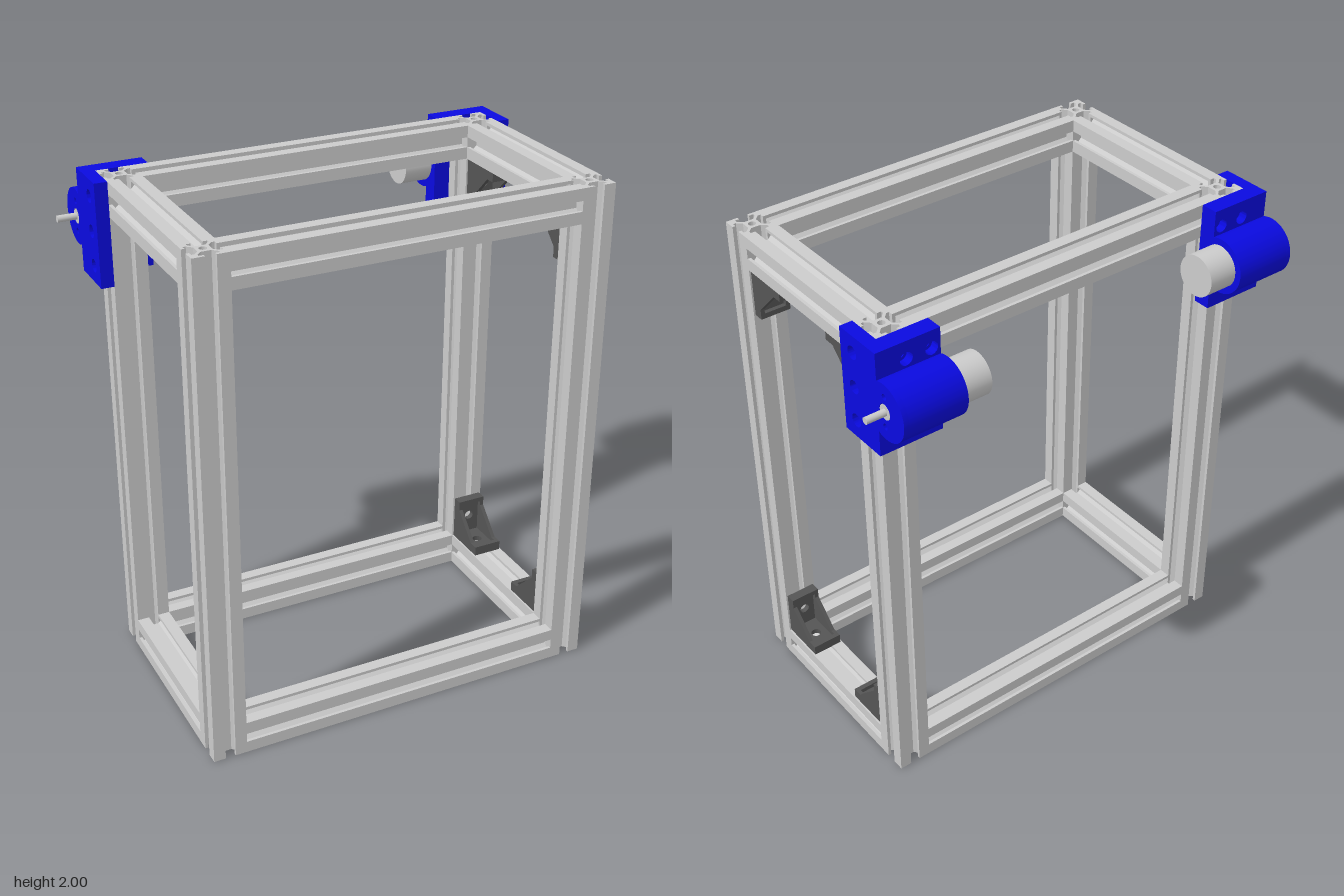
import * as THREE from 'three';
import { toCreasedNormals } from 'three/addons/utils/BufferGeometryUtils.js';

const MM = 1 / 150;          // one millimetre in model units
const S = 20 * MM;           // side of the slotted bars
const H = S / 2;
const X = 0.8 - H;           // post centres
const ZF = 0.573 - H, ZB = -0.36 + H;

const grey = new THREE.MeshStandardMaterial({ color: 0xcccccc });
const dark = new THREE.MeshStandardMaterial({ color: 0x555555 });
const blue = new THREE.MeshStandardMaterial({ color: 0x0a0ae0 });

function add(parent, name, geometry, material, x = 0, y = 0, z = 0) {
  const mesh = new THREE.Mesh(geometry, material);
  mesh.name = name;
  mesh.position.set(x, y, z);
  parent.add(mesh);
  return mesh;
}

const polygon = pts => new THREE.Shape(pts.map(p => new THREE.Vector2(p[0], p[1])));
const rect = (x0, y0, x1, y1) => polygon([[x0, y0], [x1, y0], [x1, y1], [x0, y1]]);
const disc = (x, y, r) => new THREE.Shape().absarc(x, y, r, 0, Math.PI * 2, false);

// holes are [x, y, radius]
function extrude(shape, depth, holes = []) {
  for (const [x, y, r] of holes) {
    shape.holes.push(new THREE.Path().absarc(x, y, r, 0, Math.PI * 2, true));
  }
  const g = new THREE.ExtrudeGeometry(shape, { depth, bevelEnabled: false, curveSegments: 24 });
  return toCreasedNormals(g, 0.5);
}
// extrusion towards +x; the shape's horizontal axis becomes -z
const extrudeX = (shape, depth, holes) => extrude(shape, depth, holes).rotateY(Math.PI / 2);

// T-slot bar cross-section: one quadrant repeated four times
function barGeometry(length) {
  const quadrant = [[3.9, 2.8], [6.6, 5.5], [8.2, 5.5], [8.2, 3], [10, 3], [10, 10],
    [3, 10], [3, 8.2], [5.5, 8.2], [5.5, 6.6], [2.8, 3.9]];
  const pts = [];
  for (let k = 0; k < 4; k++) {
    const c = Math.round(Math.cos(k * Math.PI / 2)), s = Math.round(Math.sin(k * Math.PI / 2));
    for (const [x, y] of quadrant) pts.push([(x * c - y * s) * MM, (x * s + y * c) * MM]);
  }
  return extrude(polygon(pts), length, [[0, 0, 2.1 * MM]]).translate(0, 0, -length / 2);
}

function buildFrame(root) {
  const frame = new THREE.Group();
  frame.name = 'frame';
  root.add(frame);
  const post = barGeometry(2).rotateX(Math.PI / 2);
  const wide = barGeometry(2 * (X - H)).rotateY(Math.PI / 2);
  const deep = barGeometry(ZF - ZB - S);
  for (const z of [ZF, ZB]) {
    for (const x of [-X, X]) add(frame, 'post', post, grey, x, 1, z);
    for (const y of [H, 2 - H]) add(frame, 'crossBar', wide, grey, 0, y, z);
  }
  for (const x of [-X, X]) {
    for (const y of [H, 2 - H]) add(frame, 'sideBar', deep, grey, x, y, (ZF + ZB) / 2);
  }
}

// Corner bracket: cheeks in the local xy plane, corner at the origin
function buildCornerBracket() {
  const g = new THREE.Group();
  g.name = 'cornerBracket';
  const L = 0.187, T = 0.04, W = 0.12, cheek = 0.016;
  const outline = [[0, 0], [L, 0], [L, T], [L - T, T], [T, L - T], [T, L], [0, L]];
  const cheekGeo = extrude(polygon(outline), cheek);
  for (const z of [-W / 2, W / 2 - cheek]) add(g, 'bracketCheek', cheekGeo, dark, 0, 0, z);
  // flanges with a screw hole and a raised lip at the tip
  const flange = extrude(rect(0, -W / 2 + cheek, L, W / 2 - cheek), 0.022, [[0.1, 0, 0.02]]);
  const lip = new THREE.BoxGeometry(0.02, T, W - 2 * cheek);
  add(g, 'bracketFlange', flange, dark, 0, 0.022, 0).rotation.x = Math.PI / 2;
  const upright = flange.clone().rotateX(Math.PI / 2).rotateZ(Math.PI / 2);
  add(g, 'bracketFlange', upright, dark);
  upright.translate(0.0, 0, 0);
  add(g, 'bracketLip', lip, dark, L - 0.01, T / 2, 0);
  add(g, 'bracketLip', lip, dark, T / 2, L - 0.01, 0).rotation.z = Math.PI / 2;
  // the upright flange extrudes to +x from the origin
  upright.computeBoundingBox();
  upright.translate(-upright.boundingBox.min.x, 0, 0);
  return g;
}

// Motor and its mount on the +x side, with y = 0 at the shaft
function buildMotorUnit(side) {
  const g = new THREE.Group();
  g.name = 'motorUnit';
  const A = 0.467, R = 0.107, P = 0.2;
  const xIn = 0.6, xPost = 0.8, xOut = 0.85;
  const zPost = -0.36, zOut = -0.427;

  // side plate in two layers, forming counterbored holes
  const t = (xOut - xPost) / 2;
  const rows = [-0.133, 0, 0.133];
  [0.014, 0.025].forEach((r, i) => {
    const plate = extrudeX(rect(-ZB - H, -P, -zOut, P), t, rows.map(y => [-ZB, y, r]));
    add(g, 'mountSidePlate', plate, blue, xPost + i * t, 0, 0);
  });

  // back plate, also in two layers
  const d = (zPost - zOut) / 2;
  const backHoles = [[X, 0.133], [X, -0.133], [0.635, 0.133 * side]];
  [0.025, 0.014].forEach((r, i) => {
    const plate = extrude(rect(xIn, -P, xPost, P), d, backHoles.map(([x, y]) => [x, y, r]));
    add(g, 'mountBackPlate', plate, blue, 0, 0, zOut + i * d);
  });

  // round motor housing with a drilled end wall
  add(g, 'motorHousing', extrudeX(disc(A, 0, R), 0.23, [[A, 0, 0.081]]), blue, xIn, 0, 0);
  add(g, 'housingEnd', extrudeX(disc(A, 0, R), 0.02,
    [[A, 0, 0.03], [A, 0.058, 0.012], [A, -0.058, 0.012]]), blue, 0.83, 0, 0);

  // motor body, boss and shaft
  const rod = (name, r, x0, x1) => add(g, name,
    new THREE.CylinderGeometry(r, r, x1 - x0, 40).rotateZ(Math.PI / 2), grey, (x0 + x1) / 2, 0, -A);
  rod('motorBody', 0.08, 0.485, 0.83);
  rod('motorBoss', 0.028, 0.83, 0.85);
  rod('motorShaft', 0.013, 0.85, 0.925);
  return g;
}

export function createModel() {
  const root = new THREE.Group();
  root.name = 'slottedBarFrame';
  buildFrame(root);

  // four brackets stiffen the left side
  const corners = [
    [S, ZB + H, -Math.PI / 2, 0], [S, ZF - H, Math.PI / 2, 0],
    [2 - S, ZB + H, Math.PI / 2, Math.PI], [2 - S, ZF - H, -Math.PI / 2, Math.PI],
  ];
  for (const [y, z, turn, flip] of corners) {
    const b = buildCornerBracket();
    b.position.set(X, y, z);
    b.rotation.set(0, turn, flip);
    root.add(b);
  }

  // one motor each side, the second turned half round about z
  for (const side of [1, -1]) {
    const unit = buildMotorUnit(side);
    unit.position.y = 1.8;
    unit.rotation.z = side > 0 ? 0 : Math.PI;
    root.add(unit);
  }
  return root;
}
